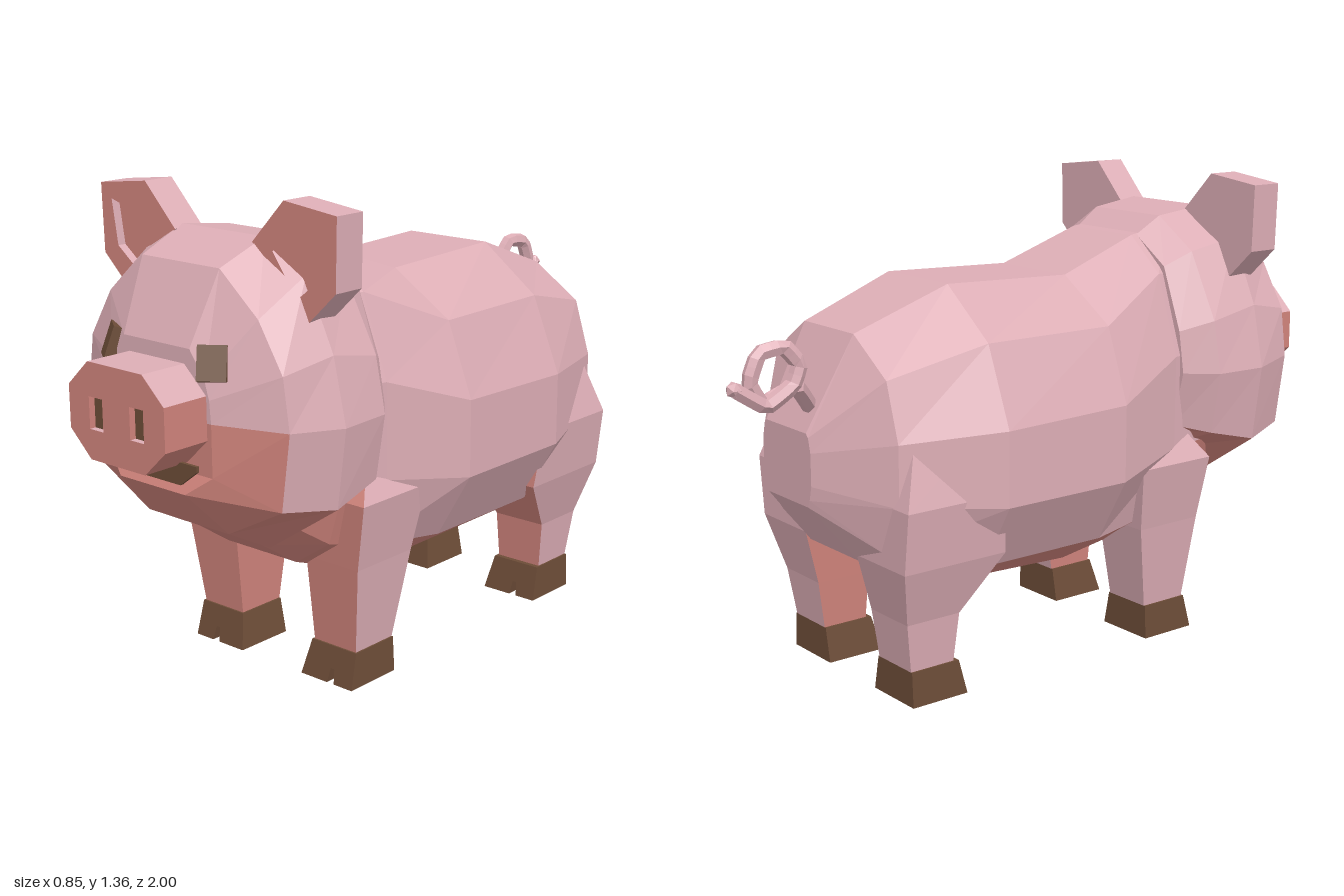
import * as THREE from 'three';

const material = (name, color) => Object.assign(new THREE.MeshStandardMaterial({ color }), { name });
const light = material('lightPink', 0xdcadb5);
const dark = material('rosePink', 0xcf837b);
const brown = material('hoofBrown', 0x6c4c37);

// Faceted geometry split into a light and a rose group; isDark(normal, centre) decides per triangle
function paint(source, isDark) {
  const geo = source.index ? source.toNonIndexed() : source;
  const p = geo.attributes.position;
  const buckets = [[], []];
  const tri = new THREE.Triangle();
  const n = new THREE.Vector3(), c = new THREE.Vector3();
  for (let i = 0; i < p.count; i += 3) {
    tri.setFromAttributeAndIndices(p, i, i + 1, i + 2);
    tri.getNormal(n);
    tri.getMidpoint(c);
    buckets[isDark(n, c) ? 1 : 0].push(...tri.a.toArray(), ...tri.b.toArray(), ...tri.c.toArray());
  }
  const out = new THREE.BufferGeometry();
  out.setAttribute('position', new THREE.Float32BufferAttribute(buckets.flat(), 3));
  out.addGroup(0, buckets[0].length / 3, 0);
  out.addGroup(buckets[0].length / 3, buckets[1].length / 3, 1);
  out.computeVertexNormals();
  return out;
}

// Closed skin over rings of equal point count, with strip caps at both ends
function loft(rings) {
  const n = rings[0].length, quads = [], tris = [];
  for (let r = 0; r < rings.length - 1; r++)
    for (let i = 0; i < n; i++) {
      const j = (i + 1) % n;
      quads.push([rings[r][i], rings[r][j], rings[r + 1][j], rings[r + 1][i]]);
    }
  const a = rings[0], b = rings[rings.length - 1];
  for (let i = 0; i < n / 2 - 1; i++) {
    quads.push([a[i], a[n - 1 - i], a[n - 2 - i], a[i + 1]]);
    quads.push([b[i], b[i + 1], b[n - 2 - i], b[n - 1 - i]]);
  }
  for (const [p, q, r, s] of quads) tris.push([p, q, r], [p, r, s]);
  // Turn the skin outward if its volume came out negative
  const v = (p) => new THREE.Vector3(...p);
  const volume = tris.reduce((sum, [p, q, r]) => sum + v(p).dot(v(q).cross(v(r))), 0);
  if (volume < 0) tris.forEach((t) => t.reverse());
  const geo = new THREE.BufferGeometry();
  geo.setAttribute('position', new THREE.Float32BufferAttribute(tris.flat(2), 3));
  return geo;
}

// Mirrored ring from half a cross-section listed top to bottom
const ring = (z, half) => {
  const left = half.map(([x, y, pz = z]) => [x, y, pz]);
  return [...left, ...left.map(([x, y, pz]) => [-x, y, pz]).reverse()];
};

// Outline in the front plane extruded from z0 to z1
function slab(points, z0, z1, side = 1, holes = []) {
  const vecs = (pts) => pts.map(([x, y]) => new THREE.Vector2(x * side, y));
  const shape = new THREE.Shape(vecs(points));
  shape.holes = holes.map((h) => new THREE.Path(vecs(h)));
  return new THREE.ExtrudeGeometry(shape, { depth: z1 - z0, bevelEnabled: false }).translate(0, 0, z0);
}

export function createModel() {
  const pig = new THREE.Group();
  pig.name = 'pig';
  const add = (name, geo, mat) => {
    const mesh = new THREE.Mesh(geo, mat);
    mesh.name = name;
    pig.add(mesh);
    return mesh;
  };
  const skin = (name, geo, isDark) => add(name, paint(geo, isDark), [light, dark]);

  // Body from rump to chest
  skin('body', loft([
    ring(-0.74, [[0.1, 0.75], [0.11, 0.74], [0.12, 0.7], [0.12, 0.61], [0.11, 0.57], [0.1, 0.55]]),
    ring(-0.6, [[0.12, 1.0], [0.27, 0.9], [0.32, 0.74], [0.32, 0.57], [0.26, 0.43], [0.12, 0.38]]),
    ring(-0.31, [[0.14, 1.105], [0.32, 0.97], [0.41, 0.75], [0.41, 0.54], [0.3, 0.35], [0.14, 0.265]]),
    ring(0.1, [[0.14, 1.09], [0.33, 0.97], [0.41, 0.76], [0.41, 0.54], [0.3, 0.35], [0.14, 0.25]]),
    ring(0.36, [[0.13, 1.18], [0.25, 1.08], [0.33, 0.85], [0.33, 0.58], [0.27, 0.38], [0.14, 0.29]]),
    ring(0.5, [[0.12, 1.2], [0.22, 1.08], [0.3, 0.85], [0.3, 0.58], [0.25, 0.42], [0.13, 0.34]]),
    ring(0.62, [[0.1, 1.1], [0.2, 1.0], [0.25, 0.85], [0.25, 0.6], [0.22, 0.5], [0.12, 0.42]]),
  ]), (n, c) => (n.y < -0.62 && c.z > -0.55) || (c.z > 0.4 && c.y < 0.6));

  // Head with rose muzzle and chin
  skin('head', loft([
    ring(0.38, [[0.13, 1.18], [0.25, 1.1], [0.32, 0.92], [0.34, 0.8], [0.3, 0.64], [0.1, 0.6]]),
    ring(0.46, [[0.14, 1.23], [0.28, 1.14], [0.38, 0.95], [0.41, 0.8], [0.38, 0.62], [0.13, 0.52]]),
    ring(0.62, [[0.15, 1.25], [0.29, 1.17], [0.38, 0.98], [0.42, 0.8], [0.39, 0.58], [0.15, 0.42]]),
    ring(0.77, [[0.14, 1.19], [0.27, 1.08], [0.35, 0.95], [0.37, 0.81], [0.34, 0.6], [0.15, 0.5]]),
    ring(0.86, [[0.12, 1.0], [0.17, 0.93], [0.185, 0.88], [0.19, 0.82], [0.19, 0.68], [0.12, 0.63, 0.89]]),
  ]), (n, c) => (c.z > 0.78 && c.y < 0.79) || n.y < -0.6);

  // Snout with nostril openings
  const nostril = (s) => [[0.05, 0.785], [0.1, 0.785], [0.1, 0.87], [0.05, 0.87]].map(([x, y]) => [x * s, y]);
  const snout = [[0.1, 0.705], [0.175, 0.775], [0.175, 0.89], [0.1, 0.96],
    [-0.1, 0.96], [-0.175, 0.89], [-0.175, 0.775], [-0.1, 0.705]];
  skin('snout', slab(snout, 0.8, 1, 1, [nostril(1), nostril(-1)]), (n) => n.y < 0.3);

  // Mouth under the snout
  add('mouth', slab([[0.17, 0.715], [0.17, 0.7], [0.11, 0.655], [-0.11, 0.655], [-0.17, 0.7], [-0.17, 0.715]],
    0.886, 0.895), brown);

  // Front and hind legs as [y, inner x, outer x, back z, front z]
  const frontRows = [[0.1, 0.14, 0.29, 0.29, 0.44], [0.35, 0.135, 0.32, 0.245, 0.465],
    [0.54, 0.15, 0.355, 0.22, 0.48], [0.62, 0.16, 0.31, 0.26, 0.42]];
  const hindRows = [[0.1, 0.14, 0.29, -0.55, -0.41], [0.24, 0.135, 0.305, -0.57, -0.4],
    [0.4, 0.13, 0.355, -0.61, -0.28], [0.57, 0.15, 0.375, -0.61, -0.3], [0.75, 0.16, 0.32, -0.55, -0.32]];

  for (const s of [1, -1]) {
    const sideName = s > 0 ? 'left' : 'right';

    for (const [name, rows, back] of [['FrontLeg', frontRows, 0.29], ['HindLeg', hindRows, -0.55]]) {
      const rings = rows.map(([y, xi, xo, zb, zf]) =>
        [[xi * s, y, zb], [xo * s, y, zb], [xo * s, y, zf], [xi * s, y, zf]]);
      skin(sideName + name, loft(rings), (n) => n.z > 0.5 || n.x * s < -0.5);

      // Hoof: solid heel and notched, sloping toe
      const heel = [[0.115, 0], [0.3, 0], [0.295, 0.1], [0.135, 0.1]];
      const toe = [[0.115, 0], [0.21, 0], [0.216, 0.04], [0.229, 0.04], [0.235, 0],
        [0.3, 0], [0.295, 0.1], [0.135, 0.1]];
      add(sideName + name + 'Heel', slab(heel, back, back + 0.13, s), brown);
      const toeGeo = slab(toe, back + 0.13, back + 0.18, s);
      const p = toeGeo.attributes.position;
      for (let i = 0; i < p.count; i++)
        if (p.getZ(i) > back + 0.15) p.setZ(i, back + 0.18 - 0.25 * p.getY(i));
      toeGeo.computeVertexNormals();
      add(sideName + name + 'Toe', toeGeo, brown);
    }

    // Ear with a recessed inner panel
    const ear = [[0.14, 1.24], [0.25, 1.355], [0.425, 1.335], [0.42, 1.145], [0.33, 1.06], [0.24, 1.12]];
    const inner = [[0.21, 1.225], [0.25, 1.255], [0.385, 1.295], [0.365, 1.17], [0.3, 1.12], [0.25, 1.17]];
    const facesFront = (n) => n.z > 0.5;
    skin(sideName + 'EarBack', slab(ear, 0.56, 0.63, s), facesFront);
    skin(sideName + 'EarRim', slab(ear, 0.63, 0.655, s, [inner]), facesFront);

    // Eye lying on the slanted brow
    const eye = add(sideName + 'Eye', new THREE.BoxGeometry(0.075, 0.09, 0.03), brown);
    eye.position.set(0.183 * s, 0.97, 0.843);
    eye.lookAt(0.183 * s + 0.55 * s, 0.97 + 0.33, 0.843 + 0.76);

    // Nostril floor
    add(sideName + 'Nostril', slab(nostril(s), 0.975, 0.982), brown);
  }

  // Curly tail
  const path = [[-0.05, 0.8, -0.69], [-0.14, 0.89, -0.79], [-0.145, 0.86, -0.89], [-0.15, 0.92, -0.93],
    [-0.15, 0.99, -0.9], [-0.155, 1.0, -0.83], [-0.16, 0.95, -0.79], [-0.16, 0.9, -0.81],
    [-0.16, 0.855, -0.89], [-0.16, 0.91, -0.978]].map((p) => new THREE.Vector3(...p));
  const curve = new THREE.CatmullRomCurve3(path, false, 'catmullrom', 0.15);
  skin('tail', new THREE.TubeGeometry(curve, 36, 0.022, 6), () => false);
  skin('tailTip', new THREE.IcosahedronGeometry(0.023, 0).translate(-0.16, 0.91, -0.978), () => false);

  return pig;
}
